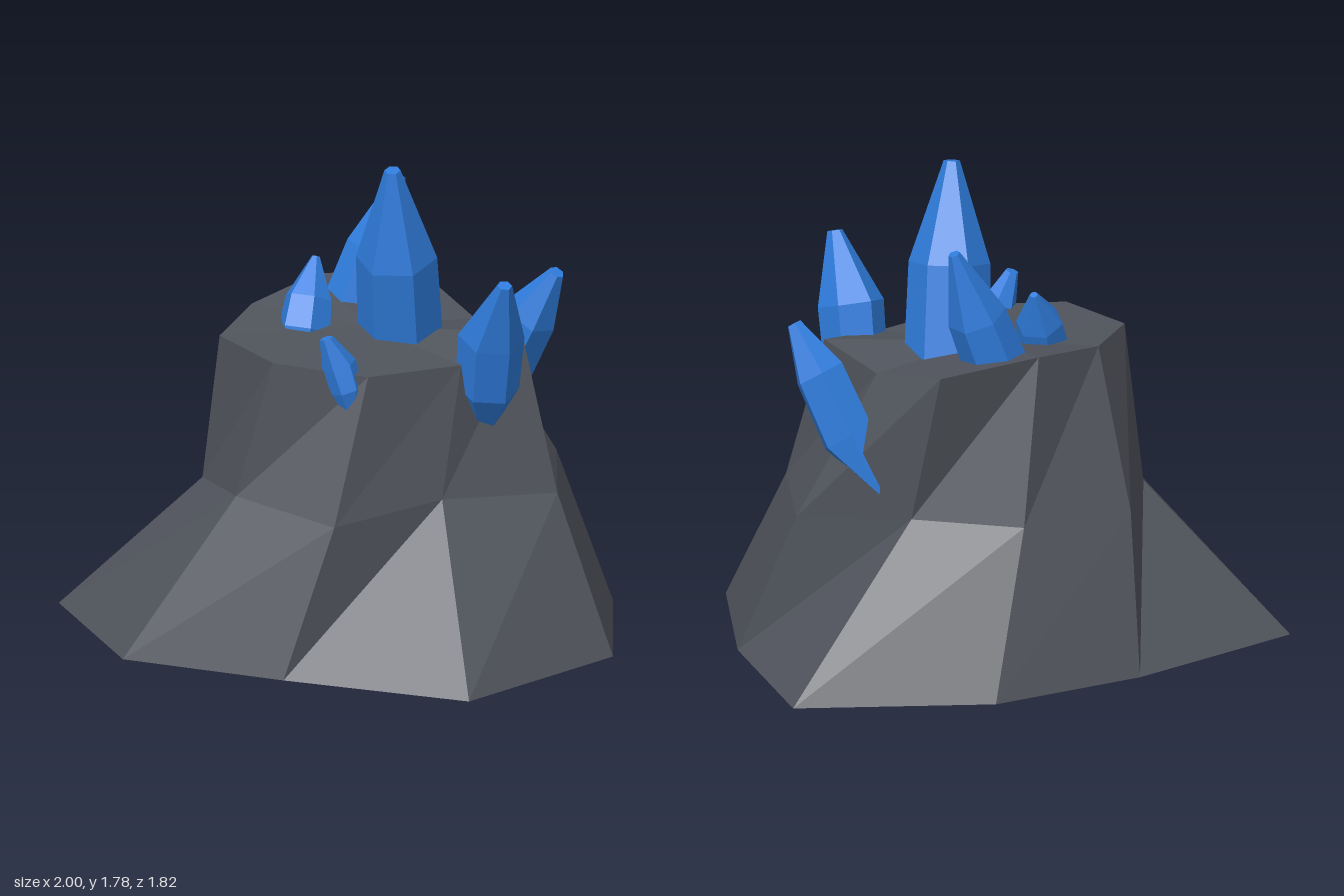
import * as THREE from 'three';

const rockGrey = new THREE.MeshStandardMaterial({ color: 0x50545c, flatShading: true });
rockGrey.name = 'rockGrey';
const crystalBlue = new THREE.MeshStandardMaterial({ color: 0x2f7cdc, flatShading: true });
crystalBlue.name = 'crystalBlue';

// Skins closed rings of points (bottom to top, clockwise from above) and caps both ends.
function loft(rings) {
  const pos = [];
  const tri = (...pts) => pts.forEach((p) => pos.push(p.x, p.y, p.z));
  const middle = (ring) => ring
    .reduce((sum, p) => sum.add(p), new THREE.Vector3())
    .divideScalar(ring.length);
  const n = rings[0].length;
  const low = rings[0], high = rings[rings.length - 1];
  const lowMid = middle(low), highMid = middle(high);
  for (let i = 0; i < n; i++) {
    const j = (i + 1) % n;
    for (let r = 0; r < rings.length - 1; r++) {
      const a = rings[r], b = rings[r + 1];
      tri(a[i], b[i], a[j]);
      tri(b[i], b[j], a[j]);
    }
    tri(lowMid, low[i], low[j]);
    tri(highMid, high[j], high[i]);
  }
  const geo = new THREE.BufferGeometry();
  geo.setAttribute('position', new THREE.Float32BufferAttribute(pos, 3));
  geo.computeVertexNormals();
  return geo;
}

// Rock stump: ground, waist and rim outlines, nine corners each
const rockRings = [
  [[-1, 0, -0.45], [-0.35, 0, -0.76], [0.235, 0, -0.91], [0.965, 0, -0.765], [1, 0, -0.1],
    [0.885, 0, 0.51], [0.275, 0, 0.905], [-0.35, 0, 0.55], [-0.885, 0, 0.21]],
  [[-0.515, 0.55, -0.18], [-0.37, 0.57, -0.55], [0.06, 0.58, -0.65], [0.45, 0.6, -0.51], [0.815, 0.55, -0.24],
    [0.73, 0.55, 0.23], [0.275, 0.6, 0.37], [-0.15, 0.56, 0.495], [-0.46, 0.6, 0.195]],
  [[-0.47, 1.13, -0.08], [-0.3, 1.15, -0.35], [-0.03, 1.19, -0.52], [0.36, 1.165, -0.59], [0.51, 1.08, -0.24],
    [0.63, 1.12, 0.06], [0.37, 1.07, 0.24], [0.0, 1.09, 0.365], [-0.33, 1.12, 0.23]],
];

// Crystals: centres of root, lower ring, shoulder and tip, with the radius of each
const crystals = [
  { name: 'tallCrystal', twist: 0.3, radii: [0.07, 0.16, 0.15, 0.03],
    path: [[0.24, 0.75, -0.17], [0.215, 0.97, -0.12], [0.18, 1.41, -0.03], [0.15, 1.775, 0.05]] },
  { name: 'frontLeftCrystal', twist: 0.1, radii: [0.02, 0.118, 0.123, 0.028],
    path: [[0.47, 0.76, 0.15], [0.475, 0.97, 0.2], [0.48, 1.18, 0.25], [0.505, 1.42, 0.385]] },
  { name: 'leftCrystal', twist: 0.6, radii: [0.01, 0.105, 0.1, 0.028],
    path: [[0.53, 0.67, -0.44], [0.63, 0.86, -0.29], [0.72, 1.09, -0.22], [0.8, 1.27, -0.15]] },
  { name: 'backCrystal', twist: 0.2, radii: [0.05, 0.12, 0.11, 0.022],
    path: [[0.0, 0.88, -0.36], [0.08, 1.08, -0.38], [0.17, 1.32, -0.39], [0.265, 1.585, -0.42]] },
  { name: 'rightCrystal', twist: 0.5, radii: [0.04, 0.1, 0.088, 0.015],
    path: [[-0.18, 0.95, -0.1], [-0.14, 1.1, -0.16], [-0.115, 1.21, -0.205], [-0.075, 1.345, -0.275]] },
  { name: 'frontCrystal', twist: 0, radii: [0.02, 0.058, 0.065, 0.025],
    path: [[-0.06, 0.94, 0.335], [-0.07, 1.03, 0.32], [-0.095, 1.12, 0.295], [-0.145, 1.23, 0.305]] },
];

// Six-sided rings set square to the crystal's own axis
function crystalGeometry({ path, radii, twist }) {
  const sides = 6;
  const centres = path.map((p) => new THREE.Vector3(...p));
  const axis = centres[3].clone().sub(centres[0]).normalize();
  const tilt = new THREE.Quaternion().setFromUnitVectors(new THREE.Vector3(0, 1, 0), axis);
  return loft(centres.map((c, r) => Array.from({ length: sides }, (_, i) => {
    const a = twist + (i / sides) * Math.PI * 2;
    return new THREE.Vector3(Math.cos(a) * radii[r], 0, Math.sin(a) * radii[r])
      .applyQuaternion(tilt).add(c);
  })));
}

export function createModel() {
  const model = new THREE.Group();
  model.name = 'crystalRock';

  const rock = new THREE.Mesh(
    loft(rockRings.map((ring) => ring.map((p) => new THREE.Vector3(...p)))), rockGrey);
  rock.name = 'rock';
  model.add(rock);

  for (const spec of crystals) {
    const crystal = new THREE.Mesh(crystalGeometry(spec), crystalBlue);
    crystal.name = spec.name;
    model.add(crystal);
  }
  return model;
}
